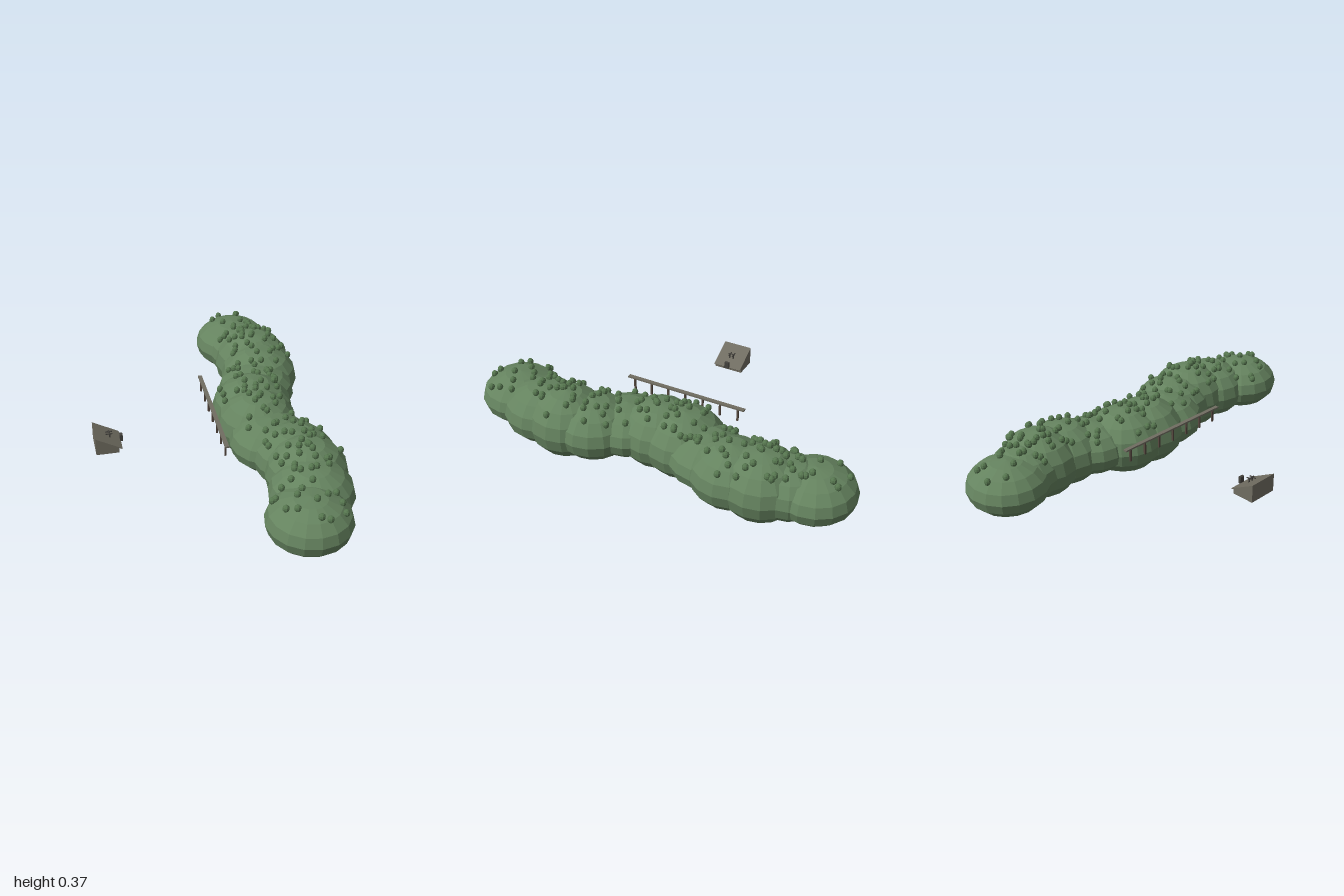
import * as THREE from 'three';

const mat = (name, color, flatShading = false) => {
  const m = new THREE.MeshStandardMaterial({ color, flatShading });
  m.name = name;
  return m;
};

export function createModel() {
  const model = new THREE.Group();
  const leaf = mat('leaf green', 0x65835f, true);
  const tuftGreen = mat('tuft green', 0x56764f, true);
  const stone = mat('stone grey', 0x706d61);
  const wood = mat('dark wood', 0x55483f);
  const dark = mat('dark fittings', 0x44423d);

  const add = (parent, name, geo, material, x = 0, y = 0, z = 0) => {
    const mesh = new THREE.Mesh(geo, material);
    mesh.name = name;
    mesh.position.set(x, y, z);
    parent.add(mesh);
    return mesh;
  };
  const box = (parent, name, material, w, h, d, x, y, z) =>
    add(parent, name, new THREE.BoxGeometry(w, h, d), material, x, y, z);
  const group = (name) => {
    const g = new THREE.Group();
    g.name = name;
    model.add(g);
    return g;
  };

  // Winding mound of overlapping squashed spheres: z, x, radius, half height
  const midY = 0.18;
  const lobes = [
    [-0.8, 0.3, 0.2, 0.13], [-0.69, 0.33, 0.18, 0.14], [-0.57, 0.36, 0.2, 0.17],
    [-0.42, 0.36, 0.2, 0.155], [-0.28, 0.31, 0.195, 0.13], [-0.12, 0.25, 0.205, 0.165],
    [0.02, 0.24, 0.198, 0.165], [0.18, 0.265, 0.2, 0.13], [0.32, 0.345, 0.2, 0.148],
    [0.46, 0.365, 0.198, 0.172], [0.61, 0.345, 0.2, 0.148], [0.79, 0.28, 0.2, 0.13],
  ];
  const mound = group('mound');
  const lobeGeo = new THREE.SphereGeometry(1, 16, 8);
  for (const [z, x, r, h] of lobes) {
    add(mound, 'moundLobe', lobeGeo, leaf, x, midY, z).scale.set(r, h, r);
  }

  // Height of the mound's upper surface at a point
  const surface = (x, z) => Math.max(...lobes.map(([lz, lx, r, h]) => {
    const d = ((x - lx) ** 2 + (z - lz) ** 2) / (r * r);
    return d < 1 ? midY + h * Math.sqrt(1 - d) : 0;
  }));

  // Small tufts scattered over the top
  let seed = 7;
  const rand = () => (seed = (seed * 16807) % 2147483647) / 2147483647;
  const tufts = group('tufts');
  const tuftGeo = new THREE.SphereGeometry(0.016, 8, 6);
  for (const [z, x, r] of lobes) {
    for (let i = 0; i < 12; i++) {
      const a = (i + rand()) * 2.4, d = r * 0.84 * Math.sqrt((i + rand()) / 12);
      const px = x + d * Math.cos(a), pz = z + d * Math.sin(a);
      add(tufts, 'tuft', tuftGeo, tuftGreen, px, surface(px, pz) + 0.006, pz).scale.y = 1.15;
    }
  }

  // Long handrail on a row of posts
  const railing = group('railing');
  box(railing, 'handrail', stone, 0.02, 0.008, 0.64, 0.019, 0.274, 0);
  for (let i = -3; i <= 3; i++) {
    box(railing, 'railPost', wood, 0.009, 0.067, 0.009, 0.019, 0.2375, i * 0.095);
  }

  // Wedge shaped hut with a single sloping roof
  const hut = group('hut');
  const profile = new THREE.Shape([
    [-0.57, 0.14], [-0.457, 0.14], [-0.457, 0.17], [-0.57, 0.232],
  ].map((p) => new THREE.Vector2(...p)));
  add(hut, 'hutBody', new THREE.ExtrudeGeometry(profile, { depth: 0.15, bevelEnabled: false }),
    stone, 0, 0, -0.077);
  box(hut, 'roofEdge', stone, 0.022, 0.004, 0.15, -0.452, 0.165, -0.002).rotation.z = -0.5;
  box(hut, 'marker', dark, 0.014, 0.035, 0.024, -0.438, 0.177, -0.003);

  // Small fittings standing on the roof
  for (const z of [-0.012, 0.008]) {
    box(hut, 'roofBar', dark, 0.034, 0.004, 0.005, -0.497, 0.21, z);
    box(hut, 'roofPeg', dark, 0.006, 0.024, 0.006, -0.494, 0.201, z);
  }
  box(hut, 'roofCrossbar', dark, 0.005, 0.004, 0.038, -0.497, 0.212, -0.002);
  return model;
}
